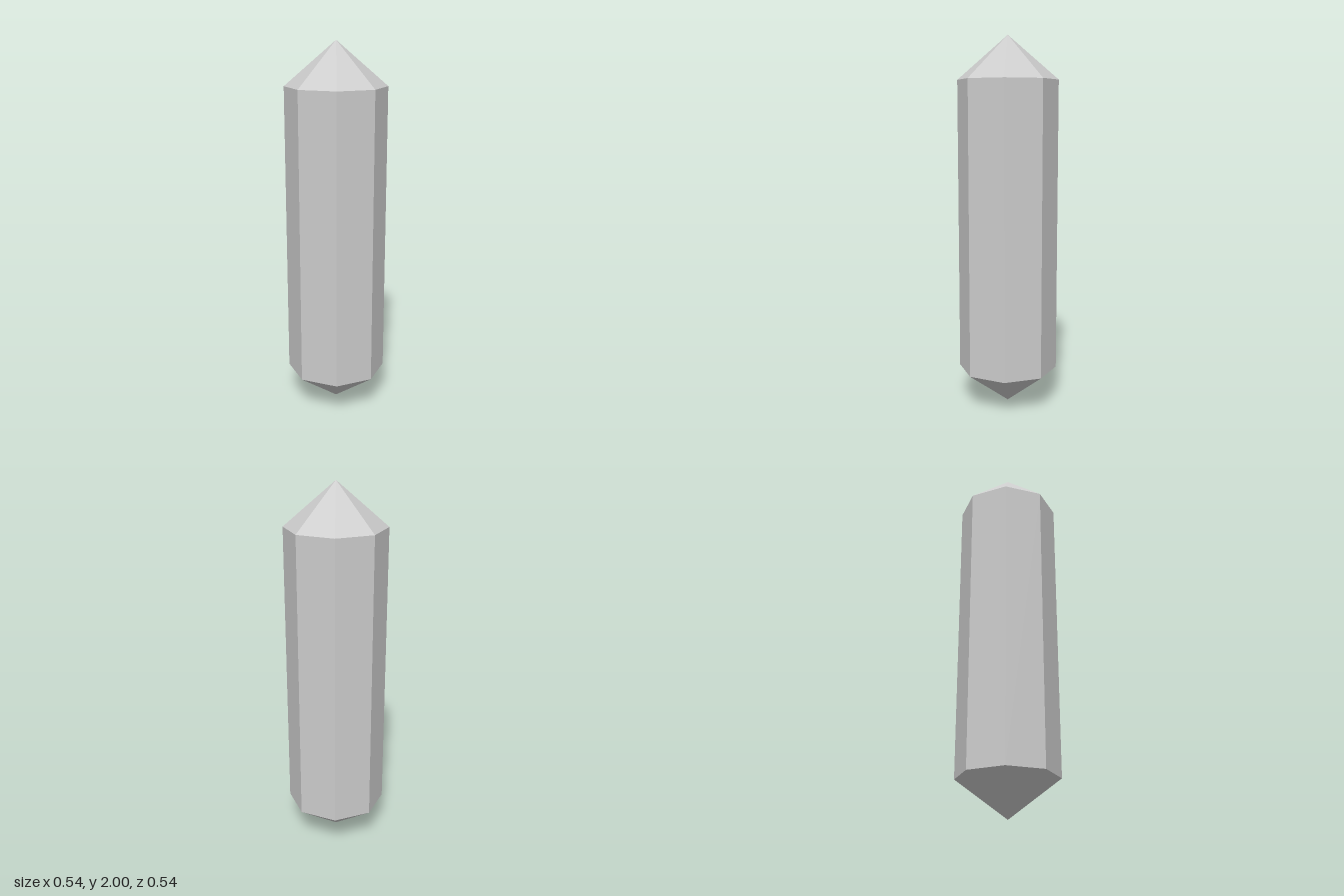
import * as THREE from 'three';

const SIDES = 8;
const RADIUS = 0.268;
const LOWER = 0.2; // height of the lower shoulder
const UPPER = 1.77; // height of the upper shoulder
const TOP = 2;

export function createModel() {
  const model = new THREE.Group();
  model.name = 'crystal';
  const material = new THREE.MeshStandardMaterial({ color: 0xcccccc, flatShading: true });

  // Adds an open eight-sided section between two heights
  function addSection(name, bottomRadius, topRadius, y0, y1) {
    const geometry = new THREE.CylinderGeometry(topRadius, bottomRadius, y1 - y0, SIDES, 1, true);
    const mesh = new THREE.Mesh(geometry, material);
    mesh.name = name;
    mesh.position.y = (y0 + y1) / 2;
    model.add(mesh);
  }

  addSection('lowerPoint', 0, RADIUS, 0, LOWER);
  addSection('shaft', RADIUS, RADIUS, LOWER, UPPER);
  addSection('upperPoint', RADIUS, 0, UPPER, TOP);

  return model;
}
